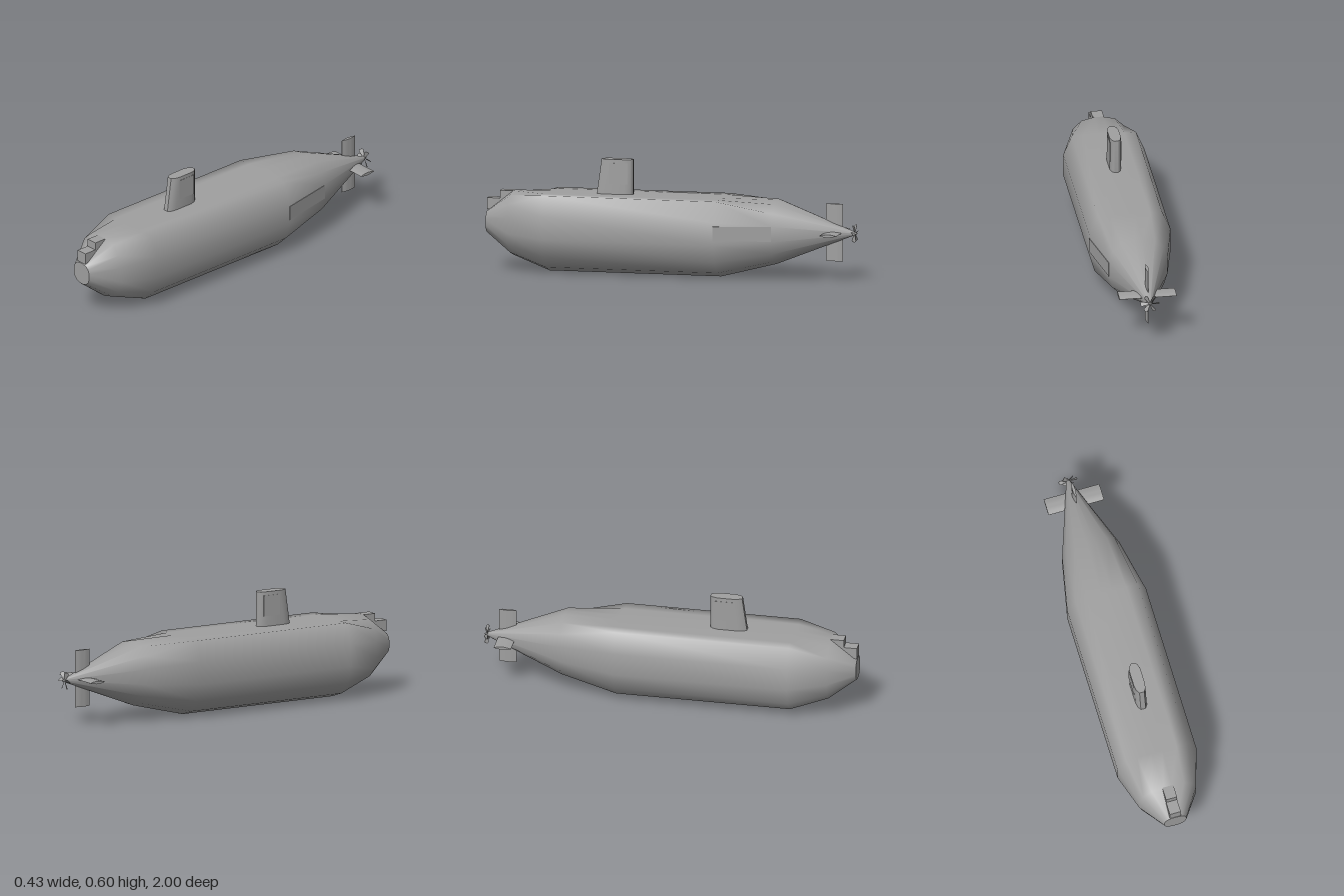
import * as THREE from 'three';
import { toCreasedNormals } from 'three/addons/utils/BufferGeometryUtils.js';

const CENTRE_Y = 0.248;

// Skin closed rings of [x, y, z] points in order and cap both ends
function loft(rings) {
  const n = rings[0].length, last = rings.length - 1;
  const pos = [], idx = [];
  rings.forEach(r => r.forEach(p => pos.push(...p)));
  for (let i = 0; i < last; i++) {
    for (let j = 0; j < n; j++) {
      const a = i * n + j, b = i * n + (j + 1) % n;
      idx.push(a, b, b + n, a, b + n, a + n);
    }
  }
  [[0, true], [last, false]].forEach(([r, flip]) => {
    const s = pos.length / 3;
    rings[r].forEach(p => pos.push(...p));
    for (let j = 1; j < n - 1; j++) {
      if (flip) idx.push(s, s + j + 1, s + j);
      else idx.push(s, s + j, s + j + 1);
    }
  });
  const g = new THREE.BufferGeometry();
  g.setAttribute('position', new THREE.Float32BufferAttribute(pos, 3));
  g.setIndex(idx);
  g.computeVertexNormals();
  return g;
}

// Complete a half outline [x, v] by mirroring it in x
const mirror = half => [...half, ...half.slice().reverse().map(([x, v]) => [-x, v])];

export function createModel() {
  const root = new THREE.Group();
  const grey = new THREE.MeshStandardMaterial({ color: 0xa0a0a0 });
  grey.name = 'hullGrey';
  const add = (geometry, name, parent = root) => {
    const m = new THREE.Mesh(geometry, grey);
    m.name = name;
    parent.add(m);
    return m;
  };

  // Hull: round sections, with a flattened deck amidships
  const lower = [[0.14, -1], [0.57, -0.88], [0.87, -0.625], [1, -0.245]];
  const round = mirror([...lower, [1, 0.245], [0.87, 0.625], [0.57, 0.88], [0.14, 0.97]]);
  const decked = mirror([...lower, [1, 0.245], [0.79, 0.672], [0.5, 0.673], [0.14, 0.673]]);
  const stations = [
    [-0.988, 0.008, 0.008, round],
    [-0.57, 0.155, 0.172, round],
    [-0.27, 0.216, 0.248, decked],
    [0.66, 0.216, 0.248, decked],
    [0.86, 0.155, 0.172, round],
    [1.0, 0.06, 0.061, round],
  ];
  add(loft(stations.map(([z, w, h, sec]) =>
    sec.map(([x, y]) => [x * w, CENTRE_Y + y * h, z]))), 'hull');

  // Sail with a raked leading edge
  const sailRing = (y, front) => mirror([
    [0.013, front], [0.025, front - 0.018], [0.03, front - 0.045],
    [0.03, 0.255], [0.022, 0.225], [0.009, 0.212],
  ]).map(([x, z]) => [x, y, z]);
  add(toCreasedNormals(loft([sailRing(0.38, 0.413), sailRing(0.6, 0.382)]), 0.9), 'sail');
  for (const s of [1, -1]) {
    const panel = add(new THREE.BoxGeometry(0.004, 0.11, 0.1), 'sailPanel');
    panel.position.set(s * 0.029, 0.525, 0.288);
  }

  // Stepped sonar housing on the bow
  const step = new THREE.Shape([
    [-1.0, 0.312], [-0.86, 0.34], [-0.86, 0.415], [-0.93, 0.415], [-0.93, 0.374], [-1.0, 0.374],
  ].map(([a, b]) => new THREE.Vector2(a, b)));
  const sonar = new THREE.ExtrudeGeometry(step, { depth: 0.06, bevelEnabled: false });
  sonar.translate(0, 0, -0.03);
  sonar.rotateY(Math.PI / 2);
  add(sonar, 'bowSonar');

  // Flank plate lying on the tapering left side
  const flank = add(new THREE.BoxGeometry(0.004, 0.078, 0.306), 'flankPlate');
  flank.position.set(0.186, 0.25, -0.42);
  flank.rotation.y = Math.atan2(0.061, 0.3);

  // Tail fins: lens-shaped blades running through the hull
  const lens = mirror([
    [0.0005, 0.046], [0.005, 0.028], [0.008, 0.008], [0.008, -0.008], [0.005, -0.028], [0.0005, -0.046],
  ]);
  const finGeo = toCreasedNormals(
    loft([-0.152, 0.152].map(y => lens.map(([x, z]) => [x, y, z]))), 0.9);
  ['rudder', 'sternPlane'].forEach((name, i) => {
    const fin = add(finGeo, name);
    fin.position.set(0, 0.25, -0.875);
    fin.rotation.z = i * Math.PI / 2;
  });

  // Propeller
  const propeller = new THREE.Group();
  propeller.name = 'propeller';
  propeller.position.set(0, CENTRE_Y, -0.985);
  root.add(propeller);
  const hub = add(new THREE.CylinderGeometry(0.003, 0.011, 0.025, 12), 'propellerHub', propeller);
  hub.rotation.x = -Math.PI / 2;
  hub.position.z = -0.0025;
  const outline = new THREE.Shape([
    [-0.004, 0.004], [0.004, 0.004], [0.013, 0.044], [0.006, 0.05], [-0.006, 0.05], [-0.013, 0.044],
  ].map(([a, b]) => new THREE.Vector2(a, b)));
  const bladeGeo = new THREE.ExtrudeGeometry(outline, { depth: 0.002, bevelEnabled: false });
  bladeGeo.translate(0, 0, -0.001);
  bladeGeo.rotateY(0.75);
  for (let i = 0; i < 6; i++) {
    add(bladeGeo, 'propellerBlade', propeller).rotation.z = i * Math.PI / 3 + Math.PI / 6;
  }
  return root;
}
